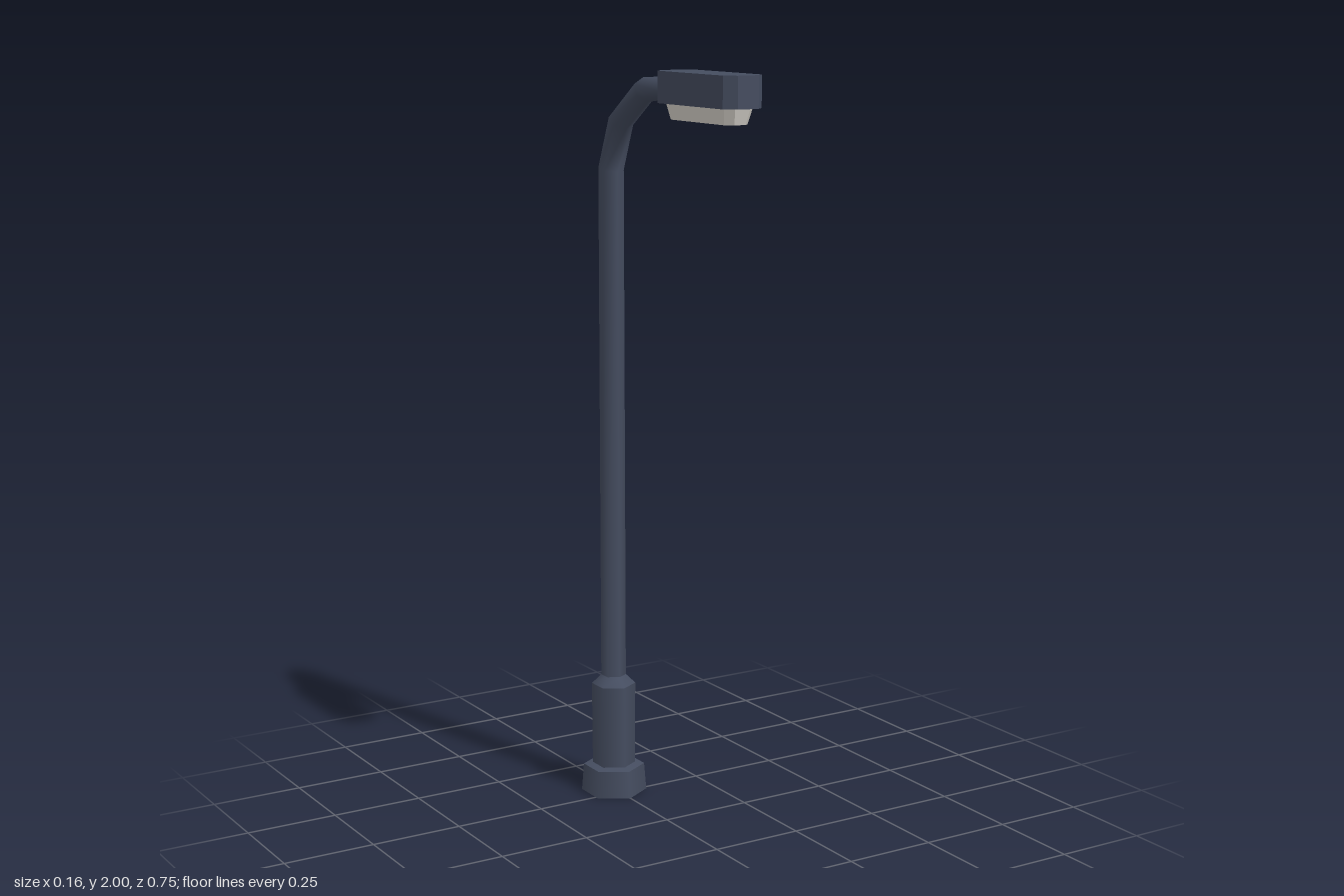
import * as THREE from 'three';

const POLE_Z = -0.283;
const metal = new THREE.MeshStandardMaterial({ color: 0x454d60, side: THREE.DoubleSide });
const flatMetal = new THREE.MeshStandardMaterial({ color: 0x454d60, flatShading: true });
const glass = new THREE.MeshStandardMaterial({ color: 0xd8d4cc, flatShading: true });

// Joins rings of points (counter-clockwise seen from the far end), optionally capped
function loft(rings, capped) {
  const n = rings[0].length;
  const index = [];
  for (let r = 0; r < rings.length - 1; r++) {
    for (let k = 0; k < n; k++) {
      const a = r * n + k, b = r * n + (k + 1) % n;
      index.push(a, b, b + n, a, b + n, a + n);
    }
  }
  if (capped) {
    const top = (rings.length - 1) * n;
    for (let k = 1; k < n - 1; k++) {
      index.push(0, k + 1, k, top, top + k, top + k + 1);
    }
  }
  const geometry = new THREE.BufferGeometry();
  geometry.setAttribute('position', new THREE.Float32BufferAttribute(rings.flat(2), 3));
  geometry.setIndex(index);
  geometry.computeVertexNormals();
  return geometry;
}

// Rectangle with cut corners, lying level at height y
function cutRectangle(w, back, front, cut, y) {
  return [
    [w, y, front - cut], [w, y, back + cut], [w - cut, y, back], [cut - w, y, back],
    [-w, y, back + cut], [-w, y, front - cut], [cut - w, y, front], [w - cut, y, front],
  ];
}

// Six-sided ring across the pole, leaning forward by the given angle
function poleRing([y, z, r, lean]) {
  const phi = THREE.MathUtils.degToRad(lean);
  return Array.from({ length: 6 }, (_, k) => {
    const a = k * Math.PI / 3, c = r * Math.cos(a);
    return [-0.034 * Math.sin(a), y + c * Math.sin(phi), z - c * Math.cos(phi)];
  });
}

export function createModel() {
  const model = new THREE.Group();
  const add = (name, geometry, material, parent = model) => {
    const mesh = new THREE.Mesh(geometry, material);
    mesh.name = name;
    parent.add(mesh);
    return mesh;
  };

  // Hexagonal foot and sleeve, open underneath: [name, y0, r0, y1, r1]
  const base = new THREE.Group();
  base.name = 'base';
  base.position.z = POLE_Z;
  model.add(base);
  for (const [name, y0, r0, y1, r1] of [
    ['foot', 0, 0.09, 0.075, 0.084],
    ['footTop', 0.075, 0.084, 0.08, 0.059],
    ['sleeve', 0.08, 0.059, 0.31, 0.06],
    ['sleeveShoulder', 0.31, 0.06, 0.335, 0.034],
  ]) {
    const geometry = new THREE.CylinderGeometry(r1, r0, y1 - y0, 6, 1, true);
    add(name, geometry, metal, base).position.y = (y0 + y1) / 2;
  }

  // Upright pole bending into the arm: [y, z, radius, lean]
  const path = [
    [0.32, POLE_Z, 0.034, 0],
    [1.73, POLE_Z, 0.033, 11],
    [1.858, -0.23, 0.033, 39],
    [1.945, -0.105, 0.033, 69],
    [1.957, 0.03, 0.028, 90],
  ];
  add('poleAndArm', loft(path.map(poleRing), false), metal);

  // Lamp housing and the tapered lens below it
  add('lampHousing', loft([
    cutRectangle(0.056, 0.021, 0.372, 0.026, 1.92),
    cutRectangle(0.056, 0.021, 0.372, 0.026, 2),
  ], true), flatMetal);
  add('lens', loft([
    cutRectangle(0.034, 0.056, 0.336, 0.018, 1.88),
    cutRectangle(0.042, 0.044, 0.349, 0.02, 1.921),
  ], true), glass);

  return model;
}
